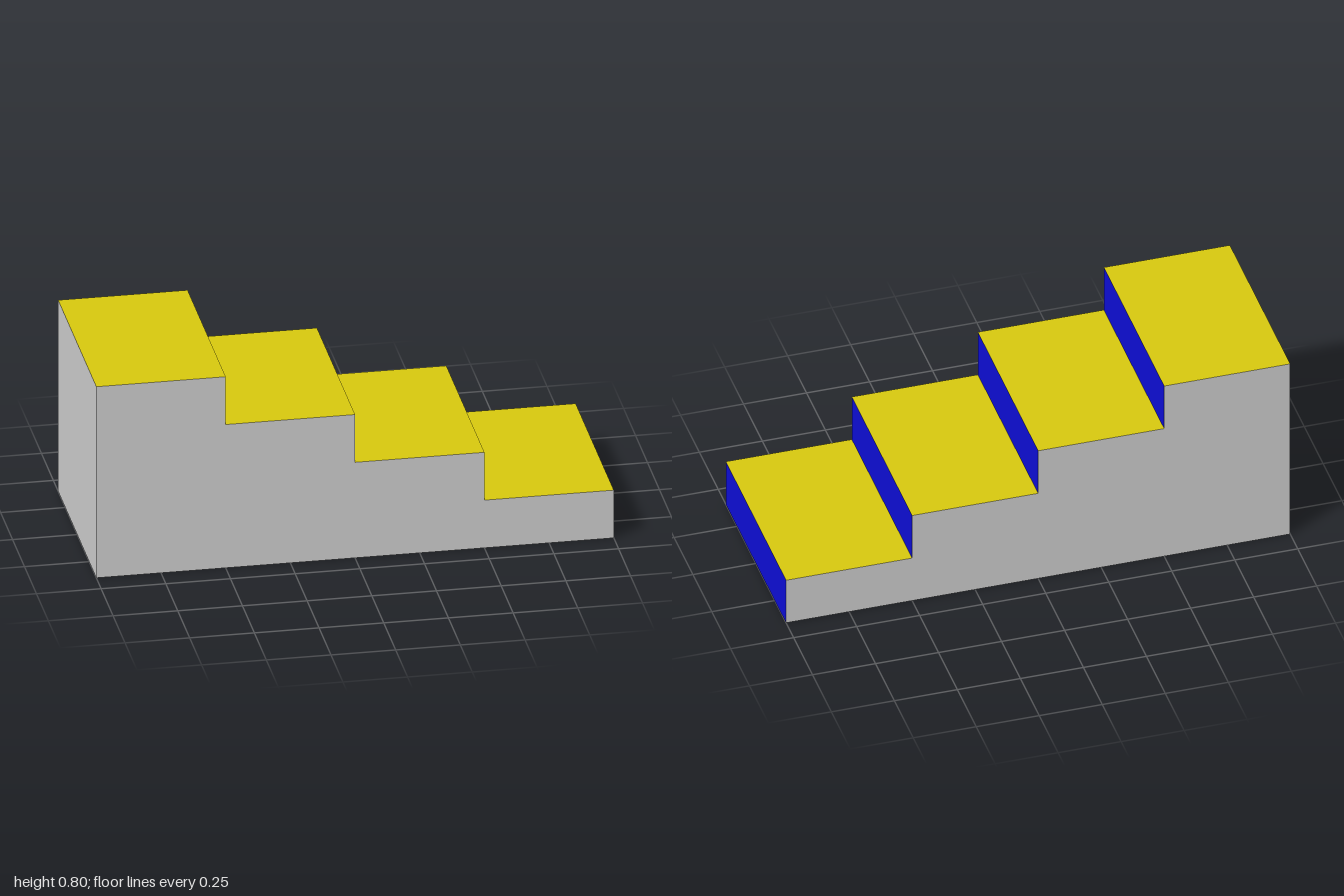
import * as THREE from 'three';

const STEPS = 4, RUN = 0.5, RISE = 0.2, DEPTH = 0.8;

export function createModel() {
  const group = new THREE.Group();
  group.name = 'staircase';
  const grey = new THREE.MeshStandardMaterial({ name: 'grey body', color: 0xcccccc });
  const yellow = new THREE.MeshStandardMaterial({ name: 'yellow tread', color: 0xd6c80e });
  const blue = new THREE.MeshStandardMaterial({ name: 'blue riser', color: 0x0d0dd6 });

  const add = (name, geometry, material, x, y, z, rx = 0, ry = 0) => {
    const mesh = new THREE.Mesh(geometry, material);
    mesh.name = name;
    mesh.position.set(x, y, z);
    mesh.rotation.set(rx, ry, 0);
    group.add(mesh);
  };

  // Stepped outline, high on the right side (-x), falling towards +x
  const outline = new THREE.Shape();
  outline.moveTo(-1, 0);
  outline.lineTo(1, 0);
  for (let i = 0; i < STEPS; i++) {
    outline.lineTo(1 - i * RUN, (i + 1) * RISE);
    outline.lineTo(1 - (i + 1) * RUN, (i + 1) * RISE);
  }
  outline.closePath();

  // Stepped side walls; the back one is mirrored so that it faces -z
  add('frontWall', new THREE.ShapeGeometry(outline), grey, 0, 0, DEPTH / 2);
  const mirrored = new THREE.Shape(outline.getPoints().map((p) => new THREE.Vector2(-p.x, p.y)));
  add('backWall', new THREE.ShapeGeometry(mirrored), grey, 0, 0, -DEPTH / 2, 0, Math.PI);

  // Tall end wall and underside
  const height = STEPS * RISE;
  add('endWall', new THREE.PlaneGeometry(DEPTH, height), grey, -1, height / 2, 0, 0, -Math.PI / 2);
  add('underside', new THREE.PlaneGeometry(2, DEPTH), grey, 0, 0, 0, Math.PI / 2);

  // Treads and risers
  for (let i = 0; i < STEPS; i++) {
    const x = 1 - i * RUN;
    add(`tread${i + 1}`, new THREE.PlaneGeometry(RUN, DEPTH), yellow, x - RUN / 2, (i + 1) * RISE, 0, -Math.PI / 2);
    add(`riser${i + 1}`, new THREE.PlaneGeometry(DEPTH, RISE), blue, x, (i + 0.5) * RISE, 0, 0, Math.PI / 2);
  }
  return group;
}
